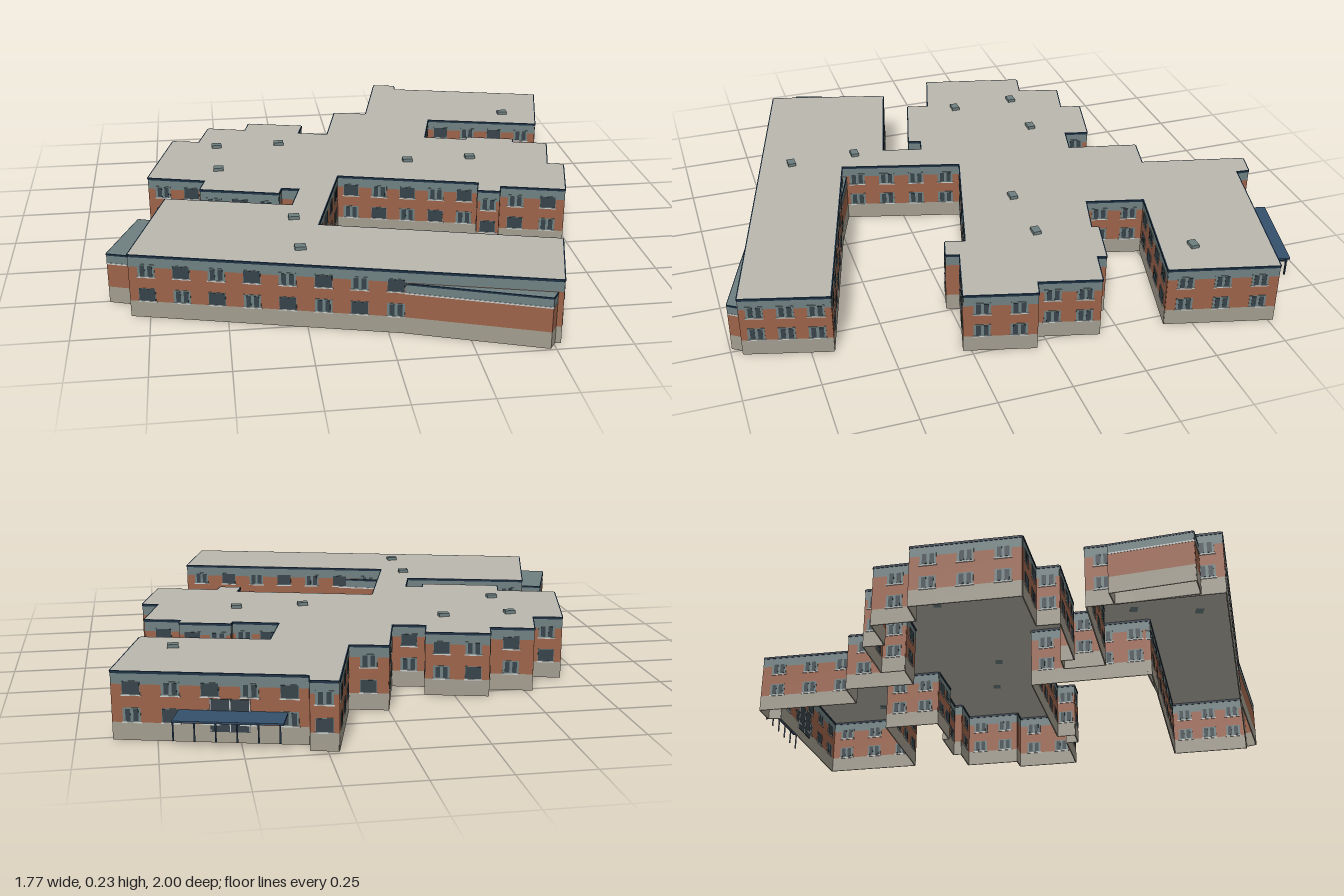
import * as THREE from 'three';
import { mergeGeometries } from 'three/addons/utils/BufferGeometryUtils.js';

const mat = (name, color, side = THREE.FrontSide) => {
  const m = new THREE.MeshStandardMaterial({ color, side });
  m.name = name;
  return m;
};

// Building outline as [x, z], walked with the outside on the left hand
const OUTLINE = [
  [0.217, -0.984], [0.3, -0.963], [0.295, -0.915], [0.884, -0.767], [0.794, -0.407], [0.37, -0.51],
  [0.318, -0.307], [0.48, -0.262], [0.487, -0.286], [0.66, -0.243], [0.65, -0.212], [0.778, -0.18],
  [0.725, 0.026], [0.783, 0.042], [0.723, 0.275], [0.5, 0.217], [0.487, 0.262], [0.413, 0.243],
  [0.432, 0.175], [-0.07, 0.042], [-0.185, 0.466], [0.598, 0.677], [0.522, 0.962], [-0.81, 0.61],
  [-0.693, 0.18], [-0.255, 0.291], [-0.217, 0.148], [-0.283, 0.132], [-0.295, 0.177], [-0.57, 0.106],
  [-0.55, 0.028], [-0.757, -0.028], [-0.667, -0.392], [-0.566, -0.368], [-0.526, -0.518], [-0.38, -0.48],
  [-0.362, -0.554], [-0.153, -0.503], [-0.175, -0.418], [-0.058, -0.39], [0, -0.64], [0.128, -0.61],
];

// Low annexes pushed out from the walls
const ANNEXES = [
  [[-0.788, 0.243], [-0.714, 0.27], [-0.8, 0.532], [-0.884, 0.503]],
  [[0.05, 0.838], [0.505, 0.957], [0.482, 0.992]],
  [[-0.183, 0.452], [0.0, 0.518], [-0.185, 0.466]],
];

export function createModel() {
  const group = new THREE.Group();
  const M = {
    brick: mat('brick', 0x9c634a),
    stone: mat('base stone', 0xa39d8f),
    teal: mat('teal cladding', 0x6f8081),
    glass: mat('dark glass', 0x36434a),
    sill: mat('pale sill', 0xc9ccca),
    navy: mat('navy trim', 0x1d3145),
    canopy: mat('canopy blue', 0x34506c),
    roof: mat('roof', 0xbab8ae, THREE.DoubleSide),
    tealRoof: mat('annex roof', 0x6f8081, THREE.DoubleSide),
  };
  M.tealRoof = M.teal;
  M.teal.side = THREE.DoubleSide;

  // Pieces are gathered by part name, then merged
  const parts = {};
  const add = (name, material, geometry) => {
    (parts[name] ??= { material, list: [] }).list.push(geometry.index ? geometry.toNonIndexed() : geometry);
  };

  // Upright panel on the line a-b, between fractions t0 and t1 and heights y0 and y1
  const panel = (name, material, a, b, t0, t1, y0, y1, thick) => {
    const dx = b[0] - a[0], dz = b[1] - a[1];
    const t = (t0 + t1) / 2;
    const g = new THREE.BoxGeometry(Math.hypot(dx, dz) * (t1 - t0), y1 - y0, thick);
    g.rotateY(Math.atan2(-dz, dx));
    g.translate(a[0] + dx * t, (y0 + y1) / 2, a[1] + dz * t);
    add(name, material, g);
  };

  const box = (name, material, w, h, d, x, y, z, turn = 0) => {
    add(name, material, new THREE.BoxGeometry(w, h, d).rotateY(turn).translate(x, y, z));
  };

  // Flat sheet filling an outline
  const sheet = (name, material, points, y) => {
    const shape = new THREE.Shape(points.map(([x, z]) => new THREE.Vector2(x, -z)));
    add(name, material, new THREE.ShapeGeometry(shape).rotateX(-Math.PI / 2).translate(0, y, 0));
  };

  const edges = (points, visit) => points.forEach((a, i) => visit(a, points[(i + 1) % points.length], i));

  // Main walls: stone base, brick, teal cladding, navy edge
  edges(OUTLINE, (a, b, i) => {
    panel('stoneBase', M.stone, a, b, 0, 1, 0, 0.058, 0.004);
    panel('brickWalls', M.brick, a, b, 0, 1, 0.058, 0.18, 0.004);
    panel('upperCladding', M.teal, a, b, 0, 1, 0.18, 0.214, 0.004);
    panel('roofEdge', M.navy, a, b, 0, 1, 0.214, 0.222, 0.008);

    // Windows in two storeys
    const length = Math.hypot(b[0] - a[0], b[1] - a[1]);
    if (length < 0.07) return;
    const count = Math.max(1, Math.round(length / 0.112));
    for (let k = 0; k < count; k++) {
      const mid = (k + 0.5) / count;
      const half = 0.028 / length;
      if (i === 22 && mid < 0.36) continue; // wall behind the long annex
      [[0.06, 0.105], [0.147, 0.191]].forEach(([y0, y1], storey) => {
        const kind = (k * 2 + i + storey * 2) % 4;
        const full = kind === 0;
        panel('windowPanels', M.teal, a, b, mid - half, mid + half, y0, y1, 0.007);
        panel('windowSills', M.sill, a, b, mid - half * 1.1, mid + half * 1.1, y0 - 0.004, y0, 0.01);
        if (full) {
          panel('windowGlass', M.glass, a, b, mid - half * 0.95, mid + half * 0.95, y0 + 0.002, y1 - 0.002, 0.009);
        } else {
          for (const s of [-0.75, 0.15]) {
            panel('windowGlass', M.glass, a, b, mid + half * s, mid + half * (s + 0.55), y0 + 0.003, y1 - 0.004, 0.009);
          }
        }
      });
    }
  });
  sheet('mainRoof', M.roof, OUTLINE, 0.2225);

  // Annexes
  for (const points of ANNEXES) {
    edges(points, (a, b) => {
      panel('annexBase', M.stone, a, b, 0, 1, 0, 0.058, 0.004);
      panel('annexBrick', M.brick, a, b, 0, 1, 0.058, 0.14, 0.004);
      panel('annexSill', M.sill, a, b, 0, 1, 0.14, 0.145, 0.006);
      panel('annexCladding', M.teal, a, b, 0, 1, 0.145, 0.172, 0.004);
      panel('annexEdge', M.navy, a, b, 0, 1, 0.172, 0.178, 0.006);
    });
    sheet('annexRoof', M.tealRoof, points, 0.1785);
  }

  // Roof vents
  for (const [x, z] of [[0.69, -0.545], [-0.5, -0.307], [-0.26, -0.307], [-0.5, -0.07],
    [0.21, -0.07], [0.45, -0.07], [-0.26, 0.4], [-0.26, 0.64]]) {
    box('roofVents', M.teal, 0.037, 0.012, 0.028, x, 0.228, z);
  }

  // Entrance canopy on thin posts, with a glazed front behind it
  const turn = -Math.atan2(0.08, 0.325);
  box('entranceCanopy', M.canopy, 0.335, 0.006, 0.105, 0.534, 0.1, -0.91, turn);
  for (let k = 0; k < 6; k++) {
    const x = 0.393 + k * 0.0625, z = -0.985 + k * 0.0154;
    box('canopyPosts', M.navy, 0.005, 0.065, 0.005, x, 0.068, z);
    box('canopyBeams', M.navy, 0.005, 0.005, 0.1, x - 0.01, 0.095, z + 0.045, turn);
  }
  panel('entranceGlass', M.glass, OUTLINE[2], OUTLINE[3], 0.3, 0.5, 0.035, 0.14, 0.0095);
  for (const t of [0.3, 0.4, 0.5]) {
    panel('entranceFrame', M.sill, OUTLINE[2], OUTLINE[3], t - 0.003, t + 0.003, 0.035, 0.14, 0.012);
  }

  for (const [name, { material, list }] of Object.entries(parts)) {
    const mesh = new THREE.Mesh(mergeGeometries(list), material);
    mesh.name = name;
    group.add(mesh);
  }
  return group;
}
